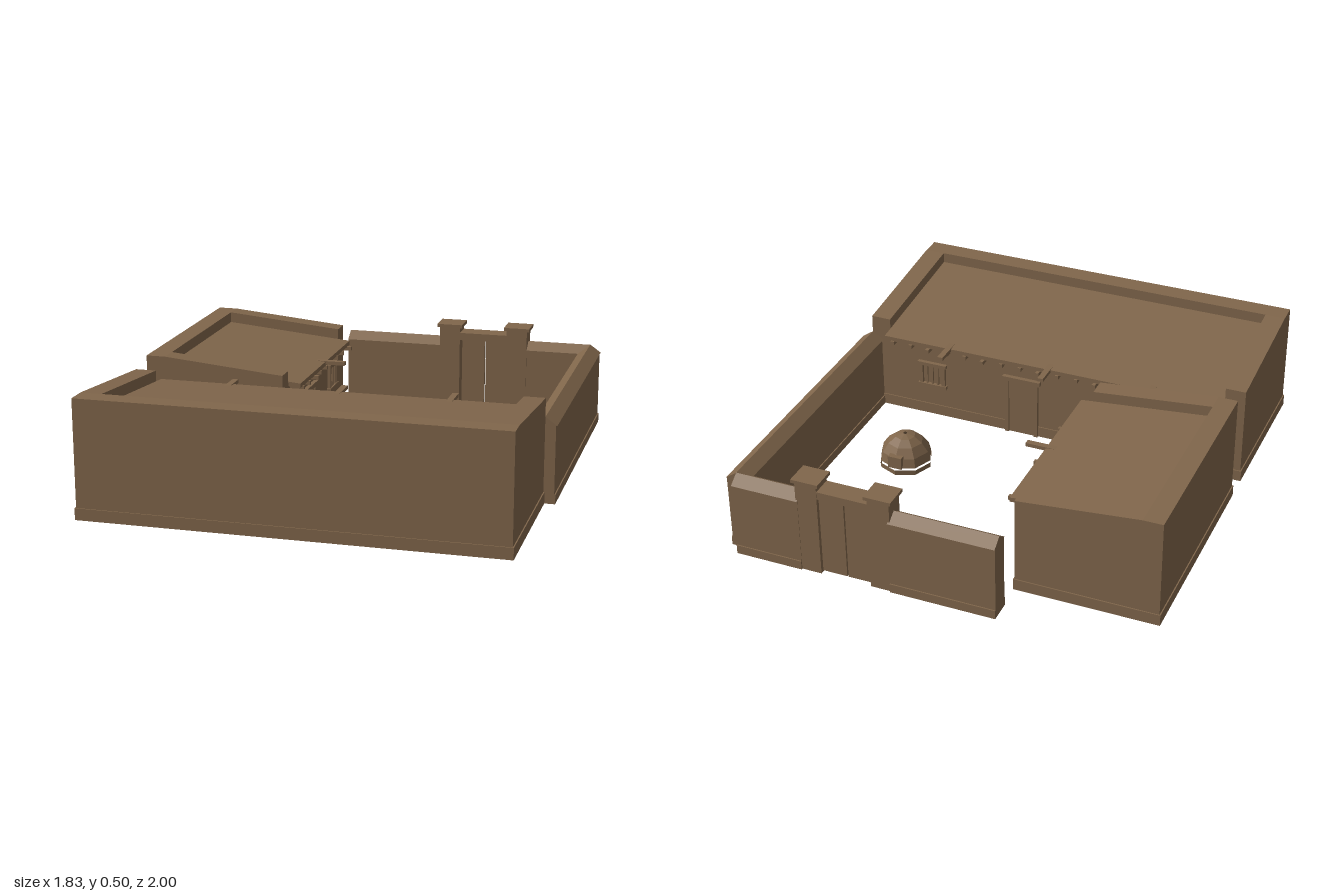
import * as THREE from 'three';

const adobe = new THREE.MeshStandardMaterial({ color: 0x80664b, side: THREE.DoubleSide, flatShading: true });
adobe.name = 'adobe brown';

function add(parent, geometry, name) {
  const mesh = new THREE.Mesh(geometry, adobe);
  mesh.name = name;
  parent.add(mesh);
  return mesh;
}

// Box given by its lower and upper limits on each axis
function box(parent, name, x0, x1, y0, y1, z0, z1) {
  const g = new THREE.BoxGeometry(x1 - x0, y1 - y0, z1 - z0);
  return add(parent, g.translate((x0 + x1) / 2, (y0 + y1) / 2, (z0 + z1) / 2), name);
}

// Extrude a (z, y) profile along x, centred on x = 0
function alongX(points, length) {
  const shape = new THREE.Shape(points.map(([z, y]) => new THREE.Vector2(z, y)));
  const g = new THREE.ExtrudeGeometry(shape, { depth: length, bevelEnabled: false });
  return g.rotateY(-Math.PI / 2).translate(length / 2, 0, 0);
}

// Shell from flat convex polygons
function shell(polygons) {
  const pos = [];
  for (const p of polygons)
    for (let i = 1; i < p.length - 1; i++) pos.push(...p[0], ...p[i], ...p[i + 1]);
  const g = new THREE.BufferGeometry();
  g.setAttribute('position', new THREE.Float32BufferAttribute(pos, 3));
  g.computeVertexNormals();
  return g;
}

// Framed window on the courtyard wall, with upright bars
function barredWindow(parent, x, y) {
  const w = new THREE.Group();
  w.name = 'barredWindow';
  w.position.set(x, y, 0);
  parent.add(w);
  for (const s of [-1, 1]) {
    box(w, 'windowJamb', s * 0.055 - 0.008, s * 0.055 + 0.008, -0.055, 0.055, -0.014, 0);
    box(w, 'windowRail', -0.07, 0.07, s * 0.055 - 0.008, s * 0.055 + 0.008, -0.018, 0);
  }
  for (let i = -1; i <= 1; i++)
    box(w, 'windowBar', i * 0.027 - 0.004, i * 0.027 + 0.004, -0.05, 0.05, -0.012, -0.004);
}

// Plank door with jambs and lintel
function door(parent, x) {
  const d = new THREE.Group();
  d.name = 'door';
  d.position.x = x;
  parent.add(d);
  for (const s of [-1, 1])
    box(d, 'doorJamb', s * 0.07 - 0.009, s * 0.07 + 0.009, 0, 0.27, -0.016, 0);
  box(d, 'doorLintel', -0.09, 0.09, 0.27, 0.29, -0.02, 0);
  box(d, 'doorPanel', -0.061, 0.061, 0, 0.27, -0.007, 0);
}

// Hollow house: courtyard wall at z = 0, tall outer wall at z = D
function house({ name, L, D, t, H, h, eave, beams, spouts, doorX, windowX, windowY }) {
  const g = new THREE.Group();
  g.name = name;
  const X = L / 2, k = (H - h) / (D - t), drop = 0.047;
  const roofY = z => h - drop + k * z;
  const xi = X - t, zi = D - t;
  const faces = [
    [[-X, 0, D], [X, 0, D], [X, H, D], [-X, H, D]],
    [[-X, H, D], [X, H, D], [X, H, zi], [-X, H, zi]],
    [[-xi, roofY(zi), zi], [xi, roofY(zi), zi], [xi, H, zi], [-xi, H, zi]],
    [[X, 0, 0], [-X, 0, 0], [-X, roofY(0), 0], [X, roofY(0), 0]],
  ];
  for (const s of [-1, 1]) {
    faces.push(
      [[s * X, 0, D], [s * X, 0, 0], [s * X, h, 0], [s * X, H, zi], [s * X, H, D]],
      [[s * X, h, 0], [s * xi, h, 0], [s * xi, H, zi], [s * X, H, zi]],
      [[s * xi, roofY(0), 0], [s * xi, h, 0], [s * xi, H, zi], [s * xi, roofY(zi), zi]],
      [[s * xi, roofY(0), 0], [s * X, roofY(0), 0], [s * X, h, 0], [s * xi, h, 0]]);
  }
  add(g, shell(faces), 'wallsAndParapet');

  // Sloping roof slab with an overhang over the courtyard
  add(g, alongX([[-eave, roofY(-eave)], [-eave, roofY(-eave) - 0.02],
    [zi, roofY(zi) - 0.02], [zi, roofY(zi)]], 2 * xi), 'roof');

  // Plinth frame round the foot of the walls
  const p = 0.005;
  const frame = new THREE.Shape([[-X - p, -p], [X + p, -p], [X + p, D + p], [-X - p, D + p]]
    .map(c => new THREE.Vector2(...c)));
  frame.holes.push(new THREE.Path([[-X, 0], [-X, D], [X, D], [X, 0]].map(c => new THREE.Vector2(...c))));
  add(g, new THREE.ExtrudeGeometry(frame, { depth: 0.05, bevelEnabled: false })
    .rotateX(Math.PI / 2).translate(0, 0.05, 0), 'plinth');

  // Beam ends under the eave and roof spouts
  const by = roofY(-eave) - 0.02;
  beams.forEach((x, i) =>
    box(g, 'beamEnd', x - 0.008, x + 0.008, by - 0.016, by + 0.002, -eave - (i % 3 ? 0.008 : 0.02), 0));
  for (const x of spouts)
    box(g, 'roofSpout', x - 0.013, x + 0.013, by + 0.008, by + 0.024, -eave - 0.09, 0.02);

  door(g, doorX);
  barredWindow(g, windowX, windowY);
  return g;
}

// Garden wall with plinth and ridged coping
function gardenWall(parent, name, length) {
  const half = [[0.05, 0], [0.05, 0.04], [0.045, 0.04], [0.045, 0.335], [0.05, 0.335]];
  const mirrored = half.map(([z, y]) => [-z, y]).reverse();
  return add(parent, alongX([...half, [0, 0.37], ...mirrored], length), name);
}

export function createModel() {
  const model = new THREE.Group();
  model.name = 'adobeCourtyard';
  const row = (n, start, step) => Array.from({ length: n }, (_, i) => start + i * step);

  // Long house along the front
  const front = house({
    name: 'frontHouse', L: 1.77, D: 0.685, t: 0.09, H: 0.505, h: 0.45, eave: 0.06,
    beams: row(18, -0.755, 0.0888), spouts: [-0.48, 0, 0.48], doorX: 0.145, windowX: 0.585, windowY: 0.21,
  });
  front.position.set(-0.025, 0, 0.31);
  model.add(front);

  // Smaller house along the side
  const side = house({
    name: 'sideHouse', L: 0.97, D: 0.615, t: 0.085, H: 0.48, h: 0.43, eave: 0.055,
    beams: row(9, -0.36, 0.0906), spouts: [0], doorX: 0.1, windowX: -0.275, windowY: 0.24,
  });
  side.rotation.y = -Math.PI / 2;
  side.position.set(-0.295, 0, -0.3);
  model.add(side);

  // Garden walls
  const long = gardenWall(model, 'sideGardenWall', 1.26);
  long.rotation.y = Math.PI / 2;
  long.position.set(0.86, 0, -0.32);
  gardenWall(model, 'backGardenWallA', 0.46).position.set(-0.07, 0, -0.947);
  gardenWall(model, 'backGardenWallB', 0.3).position.set(0.71, 0, -0.947);

  // Gateway
  const gate = new THREE.Group();
  gate.name = 'gateway';
  gate.position.set(0.36, 0, -0.943);
  model.add(gate);
  for (const s of [-1, 1]) {
    const x = s * 0.16;
    box(gate, 'gatePost', x - 0.048, x + 0.048, 0, 0.425, -0.047, 0.047);
    box(gate, 'gatePostCap', x - 0.06, x + 0.06, 0.425, 0.44, -0.056, 0.056);
    const a = s * 0.003, b = s * 0.113;
    box(gate, 'gateLeaf', Math.min(a, b), Math.max(a, b), 0.005, 0.36, -0.03, -0.012);
  }
  box(gate, 'gateLintel', -0.113, 0.113, 0.365, 0.4, -0.045, 0.045);

  // Domed oven with smoke hole, standing clear of its base ring
  const oven = new THREE.Group();
  oven.name = 'oven';
  oven.position.set(0.507, 0, -0.107);
  model.add(oven);
  const lathe = pts => new THREE.LatheGeometry(pts.map(p => new THREE.Vector2(...p)), 8);
  add(oven, lathe([[0.118, 0], [0.12, 0.024]]), 'ovenBase');
  add(oven, lathe([[0.118, 0.034], [0.108, 0.075], [0.08, 0.115], [0.045, 0.14], [0.009, 0.15]]), 'ovenDome');
  box(oven, 'ovenDoor', -0.032, 0.032, 0.034, 0.09, -0.118, -0.09);

  return model;
}
